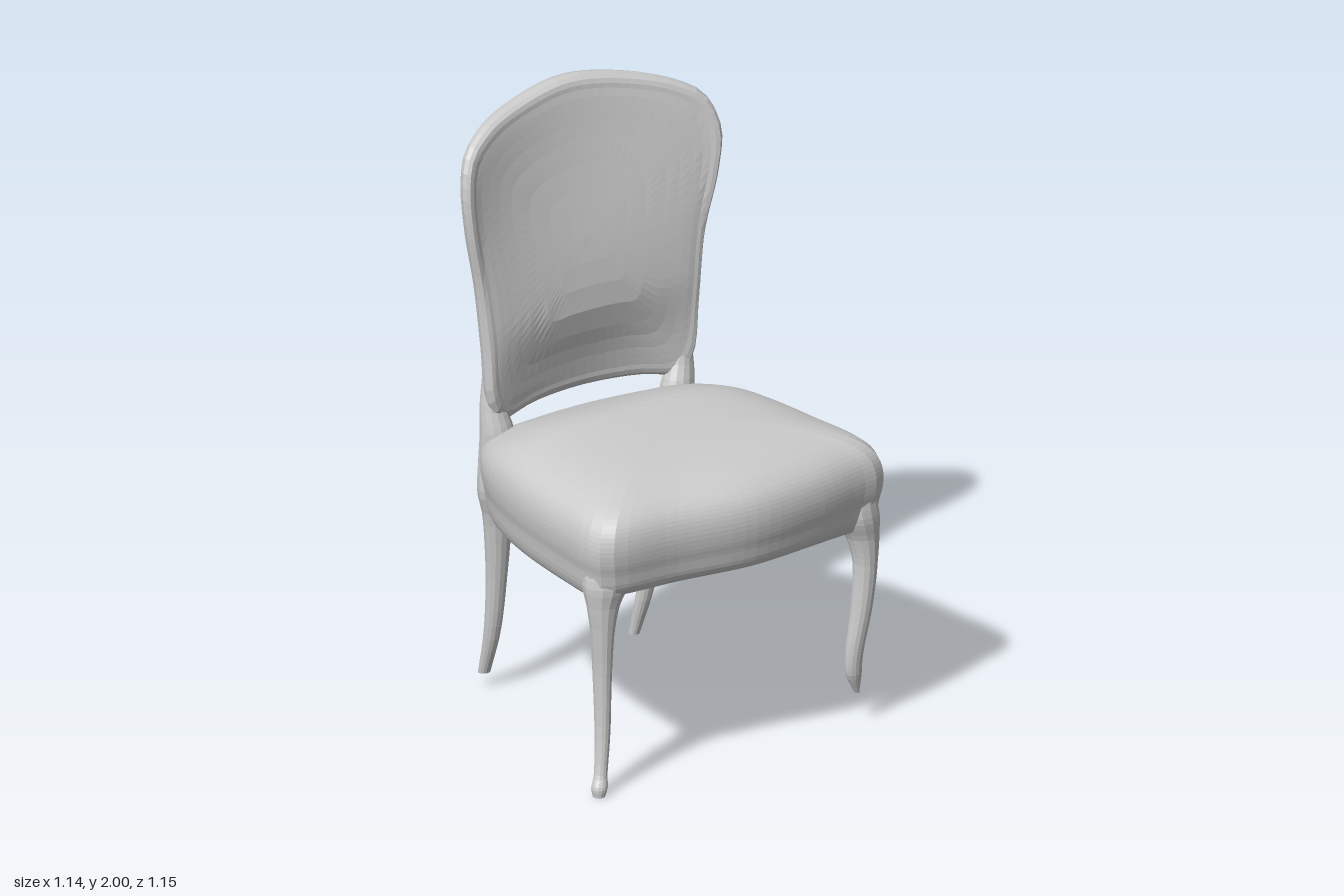
import * as THREE from 'three';

const material = new THREE.MeshStandardMaterial({ color: 0xcccccc, flatShading: true, side: THREE.DoubleSide });
const { smoothstep } = THREE.MathUtils;

// Skin a list of closed rings (arrays of [x, y, z], all the same length)
function loft(name, rings) {
  const n = rings[0].length;
  const index = [];
  for (let i = 0; i < rings.length - 1; i++) {
    for (let j = 0; j < n; j++) {
      const k = (j + 1) % n;
      const a = i * n + j, b = i * n + k, c = a + n, d = b + n;
      index.push(a, b, c, b, d, c);
    }
  }
  const geometry = new THREE.BufferGeometry();
  geometry.setAttribute('position', new THREE.Float32BufferAttribute(rings.flat(2), 3));
  geometry.setIndex(index);
  geometry.computeVertexNormals();
  const mesh = new THREE.Mesh(geometry, material);
  mesh.name = name;
  return mesh;
}

// Smooth closed outline through 2D points
function outline(points, count) {
  const curve = new THREE.CatmullRomCurve3(points.map(([u, v]) => new THREE.Vector3(u, v, 0)), true);
  return curve.getSpacedPoints(count).slice(0, count);
}

// Leg from stations [x, y, z, radiusX, radiusZ], listed from top to foot
function leg(name, stations) {
  const path = new THREE.CatmullRomCurve3(stations.map(s => new THREE.Vector3(s[0], s[1], s[2])));
  const size = new THREE.CatmullRomCurve3(stations.map(s => new THREE.Vector3(s[3], s[4], 0)));
  const steps = 28, sides = 14, rings = [];
  for (let i = 0; i <= steps; i++) {
    const p = path.getPoint(i / steps), r = size.getPoint(i / steps);
    rings.push(Array.from({ length: sides }, (_, j) => {
      const a = (j / sides) * Math.PI * 2;
      return [p.x + r.x * Math.cos(a), p.y, p.z + r.y * Math.sin(a)];
    }));
  }
  // Close both ends with a collapsed ring
  const cap = ring => {
    const c = [0, 1, 2].map(k => ring.reduce((sum, p) => sum + p[k], 0) / sides);
    return ring.map(() => c);
  };
  return loft(name, [cap(rings[0]), ...rings, cap(rings[steps])]);
}

// Upholstered seat: hollow below, domed above, sinking towards the back
function seat() {
  const plan = outline([
    [0, 0.578], [0.25, 0.545], [0.45, 0.495], [0.54, 0.475], [0.567, 0.42], [0.54, 0.2], [0.51, 0],
    [0.46, -0.2], [0.41, -0.34], [0.36, -0.41], [0.2, -0.455], [0, -0.475], [-0.2, -0.46], [-0.38, -0.42],
    [-0.45, -0.34], [-0.505, -0.22], [-0.55, 0], [-0.57, 0.3], [-0.567, 0.47], [-0.54, 0.52], [-0.28, 0.548],
  ], 80);
  // [scale of the plan, height] from the hollow's centre, round the rim, to the crown
  const profile = new THREE.CatmullRomCurve3([
    [0, 0.95], [0.4, 0.94], [0.68, 0.89], [0.78, 0.79], [0.81, 0.69], [0.87, 0.665], [0.935, 0.665],
    [0.965, 0.7], [0.98, 0.76], [0.995, 0.8], [1, 0.85], [0.985, 0.895], [0.95, 0.93], [0.88, 0.962],
    [0.78, 0.985], [0.65, 1.002], [0.5, 1.012], [0.3, 1.018], [0, 1.02],
  ].map(([s, y]) => new THREE.Vector3(s, y, 0))).getPoints(54);
  return loft('seat', profile.map(({ x: s, y }) => plan.map(p => {
    const z = 0.03 + (p.y - 0.03) * s;
    const sink = smoothstep(-z, 0.08, 0.48) * 0.08 * Math.max(0, (y - 0.84) / 0.18);
    const lift = smoothstep(z, 0.4, 0.54) * 0.025 * Math.max(0, (0.75 - y) / 0.085);
    return [p.x * s, y - sink + lift, z];
  })));
}

// Bowed backrest: cushion in front, slightly raised panel behind
function backrest() {
  const edge = outline([
    [0, 2], [0.2, 1.975], [0.36, 1.93], [0.45, 1.875], [0.492, 1.77], [0.477, 1.62], [0.428, 1.42],
    [0.398, 1.2], [0.378, 1.02], [0.34, 0.95], [0.2, 0.96], [0, 0.965], [-0.2, 0.96], [-0.36, 0.95],
    [-0.405, 1.02], [-0.42, 1.2], [-0.44, 1.42], [-0.475, 1.62], [-0.482, 1.77], [-0.455, 1.865],
    [-0.36, 1.93], [-0.2, 1.972],
  ], 80);
  const back = (x, y) => -0.483 - 0.09 * Math.max(0, y - 1) ** 1.1 + 0.125 * (x / 0.48) ** 2;
  const thickness = (x, y) => {
    const spread = y < 1.3 ? 0.19 : 0.45;
    return 0.067 + 0.085 * Math.exp(-(((y - 1.3) / spread) ** 2)) * Math.max(0, 1 - (x / 0.42) ** 2);
  };
  // [scale of the outline, share of the thickness, panel relief] from front centre to back centre
  const profile = [
    [0, 1, 0], [0.15, 1, 0], [0.3, 1, 0], [0.45, 1, 0], [0.6, 1, 0], [0.7, 1, 0], [0.79, 1, 0], [0.86, 0.99, 0],
    [0.91, 0.96, 0], [0.94, 0.97, 0], [0.97, 0.92, 0], [0.99, 0.75, 0], [1, 0.5, 0], [0.99, 0.22, 0],
    [0.97, 0.06, 0], [0.94, 0, 0], [0.88, 0, 0], [0.85, 0, -0.005], [0.82, 0, 0.006],
    [0.65, 0, 0.005], [0.45, 0, 0.003], [0.2, 0, 0], [0, 0, 0],
  ];
  return loft('backrest', profile.map(([s, share, relief]) => edge.map(p => {
    const x = p.x * s, y = 1.5 + (p.y - 1.5) * s;
    return [x, y, back(x, y) + share * thickness(x, y) - relief];
  })));
}

export function createModel() {
  const chair = new THREE.Group();
  chair.name = 'chair';
  chair.add(seat(), backrest());

  // Curved front legs with broad knees, the left one with a shorter foot
  chair.add(
    leg('frontRightLeg', [
      [-0.48, 0.82, 0.435, 0.06, 0.06], [-0.485, 0.72, 0.435, 0.078, 0.075], [-0.5, 0.64, 0.443, 0.055, 0.053],
      [-0.505, 0.55, 0.445, 0.038, 0.043], [-0.503, 0.4, 0.44, 0.029, 0.037], [-0.507, 0.2, 0.448, 0.025, 0.027],
      [-0.525, 0.07, 0.465, 0.022, 0.022], [-0.536, 0.03, 0.475, 0.027, 0.026], [-0.54, 0, 0.478, 0.02, 0.02],
    ]),
    leg('frontLeftLeg', [
      [0.47, 0.82, 0.415, 0.06, 0.06], [0.475, 0.72, 0.415, 0.078, 0.075], [0.494, 0.64, 0.428, 0.055, 0.053],
      [0.5, 0.55, 0.435, 0.04, 0.043], [0.487, 0.4, 0.435, 0.035, 0.037], [0.462, 0.24, 0.43, 0.03, 0.027],
      [0.462, 0.17, 0.427, 0.027, 0.022], [0.478, 0.1, 0.42, 0.008, 0.01],
    ]),
  );

  // Rear legs run up past the seat as posts carrying the backrest
  chair.add(
    leg('backRightLeg', [
      [-0.375, 1.12, -0.395, 0.025, 0.025], [-0.372, 1, -0.388, 0.042, 0.038], [-0.362, 0.92, -0.378, 0.056, 0.052],
      [-0.36, 0.82, -0.38, 0.06, 0.06], [-0.36, 0.72, -0.38, 0.066, 0.058], [-0.352, 0.62, -0.388, 0.05, 0.044],
      [-0.345, 0.4, -0.405, 0.035, 0.034], [-0.345, 0.2, -0.43, 0.028, 0.027], [-0.35, 0.05, -0.468, 0.021, 0.018],
    ]),
    leg('backLeftLeg', [
      [0.35, 1.12, -0.395, 0.025, 0.025], [0.343, 1, -0.388, 0.042, 0.038], [0.325, 0.92, -0.378, 0.056, 0.052],
      [0.312, 0.82, -0.38, 0.06, 0.06], [0.3, 0.72, -0.38, 0.07, 0.058], [0.28, 0.62, -0.388, 0.054, 0.044],
      [0.262, 0.4, -0.405, 0.037, 0.034], [0.235, 0.2, -0.43, 0.028, 0.027], [0.22, 0.05, -0.468, 0.018, 0.018],
    ]),
  );
  return chair;
}
